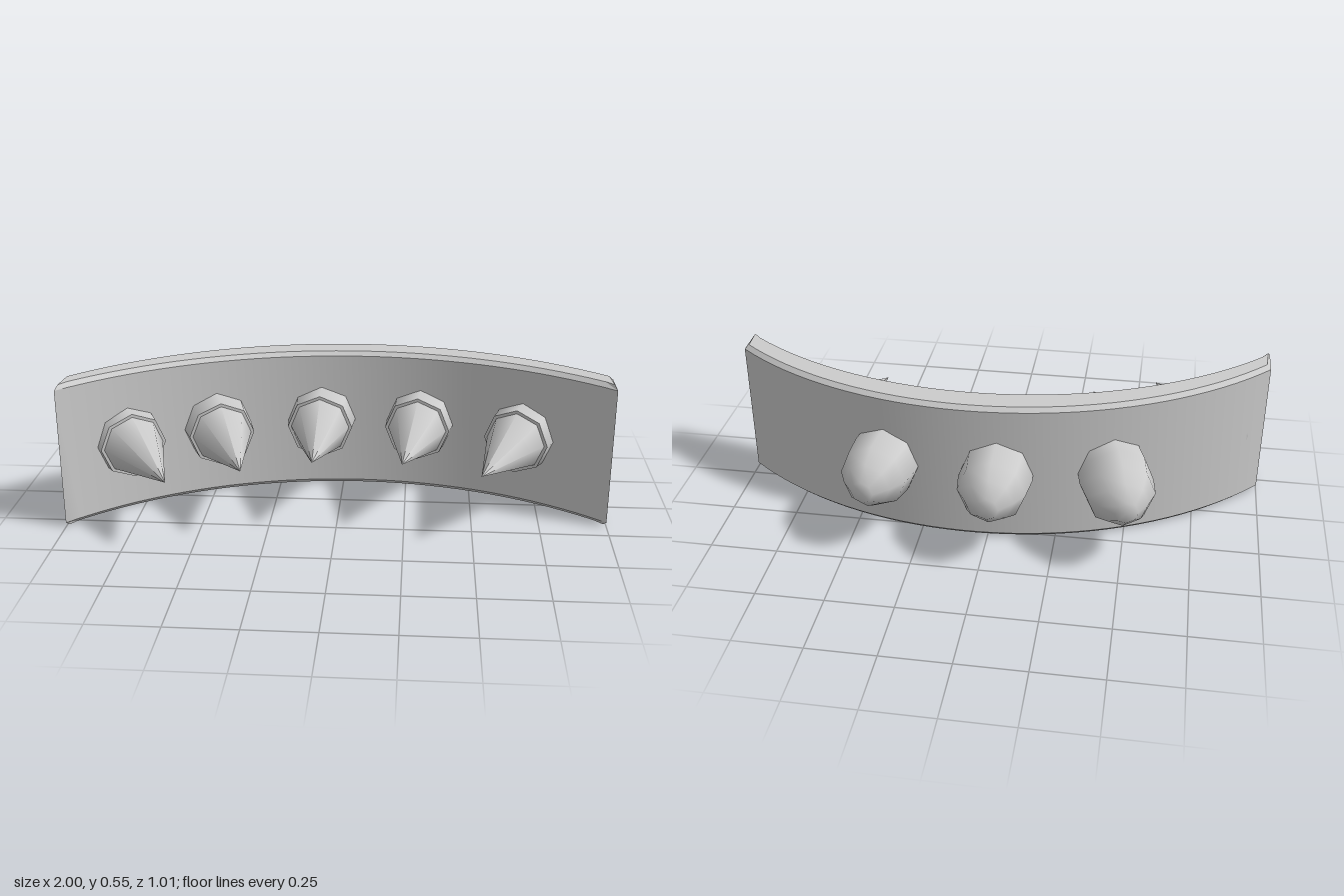
import * as THREE from 'three';
import { toCreasedNormals } from 'three/addons/utils/BufferGeometryUtils.js';

const MID = 0.275; // height of the stud row
const material = new THREE.MeshStandardMaterial({ color: 0xcccccc });

function part(name, geometry) {
  const mesh = new THREE.Mesh(geometry, material);
  mesh.name = name;
  return mesh;
}

// Curved strip: an arc swept straight forward, with chamfered top and bottom rims
function makeBand() {
  const R = 1.44, cx = 0.07, back = -0.29, thickness = 0.123, steps = 36;
  const a0 = Math.asin((-1 - cx) / R), a1 = Math.asin((1 - cx) / R);
  const outer = [], inner = [];
  for (let i = 0; i <= steps; i++) {
    const a = a0 + (a1 - a0) * i / steps;
    const x = cx + R * Math.sin(a), z = back + R * (1 - Math.cos(a));
    outer.push(new THREE.Vector2(x, z));
    inner.unshift(new THREE.Vector2(x, z + thickness));
  }
  const bevel = 0.016, height = 0.55;
  const geometry = new THREE.ExtrudeGeometry(new THREE.Shape([...outer, ...inner]), {
    depth: height - 2 * bevel, bevelEnabled: true, bevelSegments: 1,
    bevelThickness: bevel, bevelSize: bevel, bevelOffset: -bevel,
  });
  geometry.rotateX(Math.PI / 2).translate(0, height - bevel, 0);
  return part('band', toCreasedNormals(geometry, 0.4));
}

// Eight-sided spike with a collar; (x, z) is the collar's front centre, (tx, tz) the tip
function makeSpike(x, z, tx, tz) {
  const length = Math.hypot(tx - x, tz - z), collarDepth = 0.13;
  const spike = new THREE.Group();
  spike.name = 'spike';
  spike.add(
    part('spikeCollar', new THREE.CylinderGeometry(0.124, 0.135, collarDepth, 8)
      .translate(0, -collarDepth / 2, 0).rotateX(Math.PI / 2)),
    part('spikeCone', new THREE.ConeGeometry(0.112, length, 8)
      .translate(0, length / 2, 0).rotateX(Math.PI / 2)),
  );
  spike.position.set(x, MID, z);
  spike.rotation.y = Math.atan2(tx - x, tz - z);
  return spike;
}

// Blunt rear stud, pointing backwards from its tip at (x, z)
function makeRearStud(x, z, angle) {
  const profile = [[0, -0.34], [0.126, -0.34], [0.135, -0.2], [0.124, -0.11],
    [0.088, -0.05], [0.042, 0], [0, 0]].map(([r, y]) => new THREE.Vector2(r, y));
  const geometry = new THREE.LatheGeometry(profile, 8).rotateX(-Math.PI / 2);
  const stud = part('rearStud', toCreasedNormals(geometry, 0.9));
  stud.position.set(x, MID, z);
  stud.rotation.y = angle;
  return stud;
}

export function createModel() {
  const model = new THREE.Group();
  model.name = 'spikedBand';
  model.add(makeBand());
  const spikes = [
    [-0.76, 0.17, -0.575, 0.50],
    [-0.45, 0.035, -0.33, 0.385],
    [-0.085, -0.07, -0.085, 0.29],
    [0.29, -0.07, 0.24, 0.285],
    [0.66, 0.035, 0.52, 0.375],
  ];
  for (const s of spikes) model.add(makeSpike(...s));
  const studs = [[-0.515, -0.46, 0.24], [-0.033, -0.512, 0], [0.42, -0.477, -0.14]];
  for (const s of studs) model.add(makeRearStud(...s));
  return model;
}
